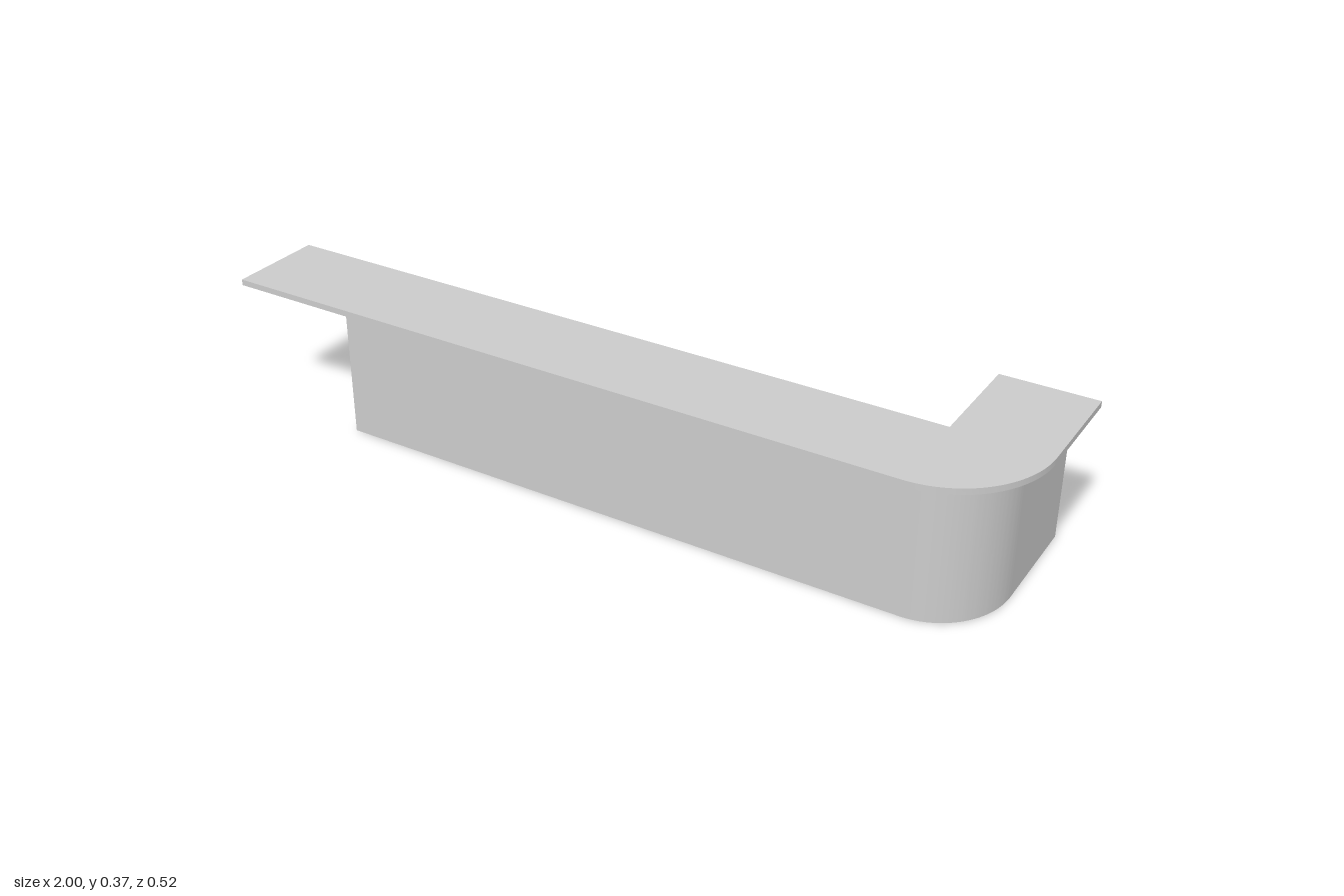
import * as THREE from 'three';
import { toCreasedNormals } from 'three/addons/utils/BufferGeometryUtils.js';

// Inner corner of the L and the z of its short leg's end
const INNER_X = 0.765, INNER_Z = 0.015, END_Z = -0.26;

// L-shaped plan with a rounded outer corner, extruded upward (shape y = -z)
function lSlab(name, startX, outerX, outerZ, bottom, height) {
  const r = outerX - INNER_X;
  const shape = new THREE.Shape();
  shape.moveTo(startX, -outerZ);
  shape.lineTo(outerX - r, -outerZ);
  shape.absellipse(INNER_X, -INNER_Z, r, outerZ - INNER_Z, -Math.PI / 2, 0, false, 0);
  shape.lineTo(outerX, -END_Z);
  shape.lineTo(INNER_X, -END_Z);
  shape.lineTo(INNER_X, -INNER_Z);
  shape.lineTo(startX, -INNER_Z);
  shape.closePath();

  const geo = new THREE.ExtrudeGeometry(shape, { depth: height, bevelEnabled: false, curveSegments: 24 });
  geo.rotateX(-Math.PI / 2);
  geo.translate(0, bottom, 0);
  const mesh = new THREE.Mesh(
    toCreasedNormals(geo, 0.5),
    new THREE.MeshStandardMaterial({ color: 0xcccccc })
  );
  mesh.name = name;
  return mesh;
}

export function createModel() {
  const group = new THREE.Group();
  group.name = 'barCounter';
  // Solid base, stopping short of the worktop's free end
  group.add(lSlab('counterBase', -0.72, 0.94, 0.205, 0, 0.355));
  // Thin overhanging worktop
  group.add(lSlab('counterTop', -1, 1, 0.26, 0.355, 0.015));
  return group;
}
